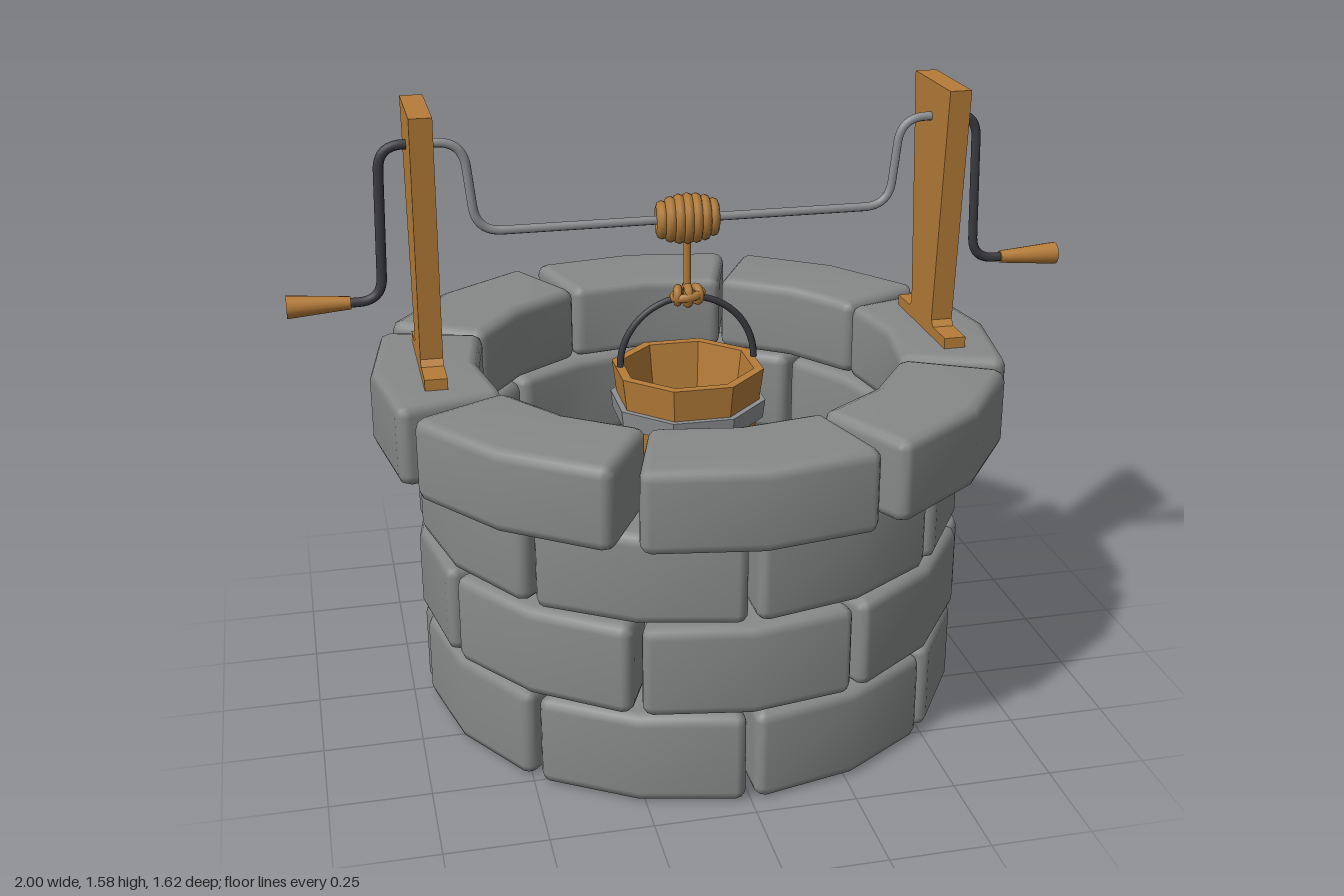
import * as THREE from 'three';
import { mergeVertices } from 'three/addons/utils/BufferGeometryUtils.js';

const mat = (name, color, side = THREE.FrontSide) =>
  Object.assign(new THREE.MeshStandardMaterial({ color, side }), { name });

const V = (x, y, z = 0) => new THREE.Vector3(x, y, z);
const rad = THREE.MathUtils.degToRad;

function flat(geometry) {
  const g = geometry.toNonIndexed();
  g.computeVertexNormals();
  return g;
}

// Rounded block bent once in the middle, lofted from rounded cross-sections
function stoneGeometry({ inner, outer, y0, y1, innerAngle, outerAngle, bevel: b }) {
  const corners = [[inner + b, y0 + b, 180], [outer - b, y0 + b, 270],
    [outer - b, y1 - b, 0], [inner + b, y1 - b, 90]];
  const sections = [[-1, 90], [-1, 60], [-1, 30], [-1, 0], [0, 0], [1, 0], [1, 30], [1, 60], [1, 90]];
  const pos = [], idx = [], n = 12;
  for (const [side, phi] of sections) {
    const round = b * Math.cos(rad(phi)), inset = b * (1 - Math.sin(rad(phi)));
    for (const [cr, cy, start] of corners) {
      for (const step of [0, 45, 90]) {
        const t = rad(start + step);
        const r = cr + round * Math.cos(t), y = cy + round * Math.sin(t);
        const k = (r - inner) / (outer - inner);
        const a = side * (rad(innerAngle + (outerAngle - innerAngle) * k) - inset / r);
        pos.push(r * Math.sin(a), y, r * Math.cos(a));
      }
    }
  }
  for (let s = 0; s < sections.length - 1; s++) {
    for (let p = 0; p < n; p++) {
      const q = (p + 1) % n, A = s * n + p, D = s * n + q;
      idx.push(A, A + n, D + n, A, D + n, D);
    }
  }
  const e = (sections.length - 1) * n;
  idx.push(0, 3, 6, 0, 6, 9, e, e + 6, e + 3, e, e + 9, e + 6);
  const g = new THREE.BufferGeometry();
  g.setAttribute('position', new THREE.Float32BufferAttribute(pos, 3));
  g.setIndex(idx);
  const merged = mergeVertices(g, 1e-5);
  merged.computeVertexNormals();
  return merged;
}

// Path of straight runs joined by rounded corners
function bentPath(points, r) {
  const path = new THREE.CurvePath();
  let last = points[0];
  for (let i = 1; i < points.length - 1; i++) {
    const c = points[i];
    const a = c.clone().add(points[i - 1].clone().sub(c).setLength(r));
    const b = c.clone().add(points[i + 1].clone().sub(c).setLength(r));
    path.add(new THREE.LineCurve3(last, a));
    path.add(new THREE.QuadraticBezierCurve3(a, c, b));
    last = b;
  }
  path.add(new THREE.LineCurve3(last, points[points.length - 1]));
  return path;
}

export function createModel() {
  const model = new THREE.Group();
  model.name = 'well';
  const stone = mat('stone grey', 0x868988);
  const wood = mat('wood', 0xb57c38);
  const rope = mat('rope', 0xb07a3a);
  const steel = mat('light steel', 0x8c8e90);
  const iron = mat('dark iron', 0x3b3b40);
  const blue = mat('water blue', 0x4ea8da, THREE.DoubleSide);

  const add = (name, geometry, material, parent = model) => {
    const mesh = new THREE.Mesh(geometry, material);
    mesh.name = name;
    parent.add(mesh);
    return mesh;
  };

  // Stone rings, eight blocks each, with staggered joints
  const rows = [
    { inner: 0.53, outer: 0.705, y0: 0, y1: 0.238, turn: 22.5 },
    { inner: 0.53, outer: 0.712, y0: 0.242, y1: 0.478, turn: 0 },
    { inner: 0.53, outer: 0.705, y0: 0.482, y1: 0.716, turn: 22.5 },
    { inner: 0.54, outer: 0.812, y0: 0.716, y1: 0.925, turn: 0, innerAngle: 22.3, outerAngle: 20.4 },
  ];
  rows.forEach((row, i) => {
    const ring = new THREE.Group();
    ring.name = i === 3 ? 'rimStones' : 'wallStones' + (i + 1);
    const geometry = stoneGeometry({ innerAngle: 21.7, outerAngle: 21.7, bevel: 0.028, ...row });
    for (let k = 0; k < 8; k++) {
      add('stone', geometry, stone, ring).rotation.y = rad(row.turn + 45 * k);
    }
    model.add(ring);
  });

  // Rippled water
  const water = new THREE.RingGeometry(0.001, 0.56, 48, 14).rotateX(-Math.PI / 2);
  const wp = water.attributes.position;
  for (let i = 0; i < wp.count; i++) {
    const x = wp.getX(i), z = wp.getZ(i), r = Math.hypot(x, z), a = Math.atan2(z, x);
    wp.setY(i, 0.35 + 0.012 * Math.sin(r * 24 + 1.5 * Math.sin(a * 2)) * Math.cos(a + r * 4));
  }
  water.computeVertexNormals();
  add('water', water, blue);

  // Bucket with two hoops
  const bucket = new THREE.Group();
  bucket.name = 'bucket';
  model.add(bucket);
  const octagon = (pts) => flat(new THREE.LatheGeometry(
    pts.map(([x, y]) => new THREE.Vector2(x, y)), 8, Math.PI / 8));
  add('bucketStaves', octagon([[0, 0.45], [0.145, 0.45], [0.2, 0.87], [0.174, 0.87],
    [0.122, 0.48], [0, 0.48]]), wood, bucket);
  for (const [y, r] of [[0.735, 0.199], [0.56, 0.175]]) {
    add('bucketHoop', octagon([[r - 0.03, y], [r, y], [r + 0.006, y + 0.05],
      [r - 0.024, y + 0.05]]), steel, bucket);
  }
  const bail = new THREE.TorusGeometry(0.177, 0.009, 8, 28, Math.PI);
  add('bucketBail', bail, iron, bucket).position.y = 0.878;

  // Rope coil, hanging rope and knot
  const coil = new THREE.Group();
  coil.name = 'ropeCoil';
  model.add(coil);
  for (let i = 0; i < 7; i++) {
    const x = (i - 3) * 0.022;
    const r = 0.05 * Math.sqrt(1 - (x / 0.09) ** 2);
    const wrap = add('ropeWrap', new THREE.TorusGeometry(r, 0.015, 8, 20), rope, coil);
    wrap.position.set(x, 1.262, 0);
    wrap.rotation.set(0, Math.PI / 2 - 0.12, 0);
  }
  add('hangingRope', new THREE.CylinderGeometry(0.01, 0.01, 0.2, 8), rope).position.set(0, 1.13, 0);
  const knot = new THREE.Group();
  knot.name = 'knot';
  knot.position.y = 1.06;
  model.add(knot);
  for (const [x, ry, r] of [[-0.025, 1.3, 0.018], [0.025, 1.8, 0.018], [0, 1.57, 0.024]]) {
    const loop = add('knotLoop', new THREE.TorusGeometry(r, 0.011, 8, 16), rope, knot);
    loop.position.x = x;
    loop.rotation.y = ry;
  }
  const band = add('knotBand', new THREE.TorusGeometry(0.036, 0.012, 8, 18), rope, knot);
  band.rotation.set(Math.PI / 2, 0.15, 0);
  band.scale.y = 0.75;

  // Axle with a raised bend at each end
  const axle = bentPath([V(-0.66, 1.49), V(-0.555, 1.49), V(-0.53, 1.262), V(0.53, 1.262),
    V(0.555, 1.49), V(0.66, 1.49)], 0.065);
  add('axle', new THREE.TubeGeometry(axle, 160, 0.0115, 8), steel);

  // Post outline with a wide foot
  const half = [[0.18, 0.92], [0.18, 0.953], [0.092, 0.953], [0.077, 0.968], [0.128, 1.58]];
  const outline = [...half, ...half.map(([z, y]) => [-z, y]).reverse()];
  const postGeometry = new THREE.ExtrudeGeometry(
    new THREE.Shape(outline.map(([z, y]) => new THREE.Vector2(z, y))),
    { depth: 0.056, bevelEnabled: false });
  postGeometry.translate(0, 0, -0.028).rotateY(Math.PI / 2);

  // Posts, cranks and handles on both sides
  for (const s of [-1, 1]) {
    const side = new THREE.Group();
    side.name = s > 0 ? 'leftSupport' : 'rightSupport';
    model.add(side);
    add('post', postGeometry, wood, side).position.x = s * 0.662;
    const crank = bentPath([V(s * 0.66, 1.49), V(s * 0.757, 1.49), V(s * 0.768, 1.102),
      V(s * 0.87, 1.102)], 0.06);
    add('crank', new THREE.TubeGeometry(crank, 60, 0.0125, 8), iron, side);
    const handle = add('handle', new THREE.CylinderGeometry(0.029, 0.016, 0.155, 16), wood, side);
    handle.rotation.z = -s * Math.PI / 2;
    handle.position.set(s * 0.9225, 1.102, 0);
  }
  return model;
}
